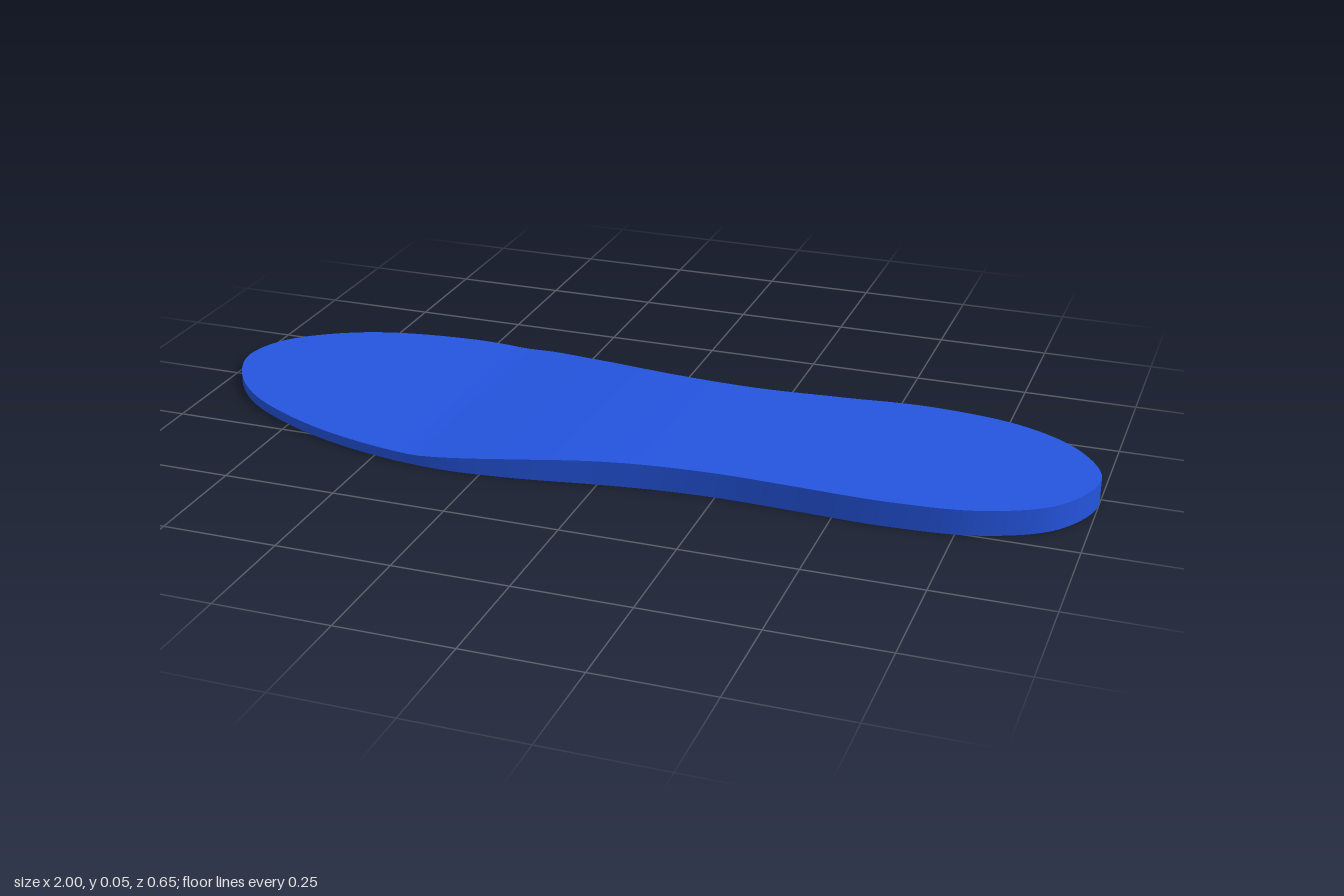
import * as THREE from 'three';

// Footprint as [x, z], from the toe along the back edge to the heel, then along the front edge
const BACK = [[-1, -0.07], [-0.96, -0.175], [-0.8, -0.282], [-0.54, -0.325], [-0.35, -0.305], [-0.2, -0.262], [0, -0.212],
  [0.19, -0.197], [0.4, -0.21], [0.59, -0.224], [0.8, -0.19], [0.935, -0.105], [1, 0.02]];
const FRONT = [[0.94, 0.165], [0.8, 0.243], [0.62, 0.266], [0.4, 0.26], [0.28, 0.256], [0.14, 0.262], [0, 0.28],
  [-0.18, 0.31], [-0.35, 0.322], [-0.54, 0.295], [-0.72, 0.235], [-0.88, 0.14], [-0.97, 0.03]];
const POCKET = { x0: -0.13, x1: 0.44, z0: -0.183, z1: 0.085, depth: 0.024 };
const STATIONS = 110;

// Thickness: thin forefoot, easing up to a thick arch and heel
function heightAt(x) {
  const t = THREE.MathUtils.clamp((x + 0.4) / 0.5, 0, 1);
  return 0.022 + 0.033 * Math.sin(t * Math.PI / 2);
}

// z of an edge polyline at a given x
function edgeAt(points, x) {
  for (let i = 1; i < points.length; i++) {
    const a = points[i - 1], b = points[i];
    if (x <= b.x) return THREE.MathUtils.lerp(a.z, b.z, THREE.MathUtils.clamp((x - a.x) / (b.x - a.x || 1), 0, 1));
  }
  return points[points.length - 1].z;
}

function indexed(positions, index) {
  const g = new THREE.BufferGeometry();
  g.setAttribute('position', new THREE.Float32BufferAttribute(positions, 3));
  g.setIndex(index);
  return g;
}

// Closed vertical band around a loop of [x, z], from y = 0 up to top(x)
function band(loop, top) {
  const pos = [], idx = [], n = loop.length;
  loop.forEach(([x, z], i) => {
    pos.push(x, 0, z, x, top(x), z);
    const a = 2 * i, b = 2 * ((i + 1) % n);
    idx.push(a, a + 1, b, b, a + 1, b + 1);
  });
  return indexed(pos, idx);
}

export function createModel() {
  const group = new THREE.Group();
  const blue = new THREE.MeshStandardMaterial({ color: 0x2455e0 });
  const brown = new THREE.MeshStandardMaterial({ color: 0x8a5a30 });
  const add = (name, geometry, material = blue) => {
    const mesh = new THREE.Mesh(geometry, material);
    mesh.name = name;
    group.add(mesh);
    return mesh;
  };

  // Smooth outline, split at its two extremes and resampled at shared x stations
  const curve = new THREE.CatmullRomCurve3([...BACK, ...FRONT].map(([x, z]) => new THREE.Vector3(x, 0, z)), true);
  const samples = curve.getPoints(1200).slice(0, -1);
  let toe = 0, heel = 0;
  samples.forEach((p, i) => {
    if (p.x < samples[toe].x) toe = i;
    if (p.x > samples[heel].x) heel = i;
  });
  const run = (from, to) => {
    const out = [];
    for (let i = from; ; i = (i + 1) % samples.length) {
      out.push(samples[i]);
      if (i === to) return out;
    }
  };
  const backEdge = run(toe, heel), frontEdge = run(heel, toe).reverse();
  const xMin = samples[toe].x, xMax = samples[heel].x;
  const back = [], front = [];
  for (let i = 0; i <= STATIONS; i++) {
    const x = THREE.MathUtils.lerp(xMin, xMax, (1 - Math.cos(Math.PI * i / STATIONS)) / 2);
    back.push([x, edgeAt(backEdge, x)]);
    front.push([x, edgeAt(frontEdge, x)]);
  }
  const loop = [...back, ...front.slice(1, -1).reverse()];

  // Top surface, one strip per station
  const pos = [], idx = [];
  back.forEach(([x, zb], i) => {
    const y = heightAt(x);
    pos.push(x, y, zb, x, y, front[i][1]);
    if (i < STATIONS) {
      const a = 2 * i;
      idx.push(a, a + 1, a + 2, a + 2, a + 1, a + 3);
    }
  });
  const top = indexed(pos, idx);
  top.computeVertexNormals();
  add('topSurface', top);

  // Side wall
  const wall = band(loop, heightAt);
  wall.computeVertexNormals();
  add('sideWall', wall);

  // Underside with the pocket opening
  const { x0, x1, z0, z1, depth } = POCKET;
  const rect = [[x0, z0], [x0, z1], [x1, z1], [x1, z0]];
  const toVectors = (points) => points.map(([x, z]) => new THREE.Vector2(x, z));
  const sole = new THREE.Shape(toVectors(loop));
  sole.holes.push(new THREE.Path(toVectors(rect)));
  add('underside', new THREE.ShapeGeometry(sole).rotateX(Math.PI / 2));

  // Pocket walls and ceiling
  const pocketWalls = band(rect, () => depth).toNonIndexed();
  pocketWalls.computeVertexNormals();
  add('pocketWalls', pocketWalls);
  add('pocketCeiling', new THREE.PlaneGeometry(x1 - x0, z1 - z0).rotateX(Math.PI / 2))
    .position.set((x0 + x1) / 2, depth, (z0 + z1) / 2);

  // Small contacts on the pocket's front wall
  for (const x of [0.14, 0, -0.115]) {
    add('contact', new THREE.CylinderGeometry(0.008, 0.008, 0.012, 16).rotateX(Math.PI / 2), brown)
      .position.set(x, 0.012, z1 - 0.002);
  }
  return group;
}
